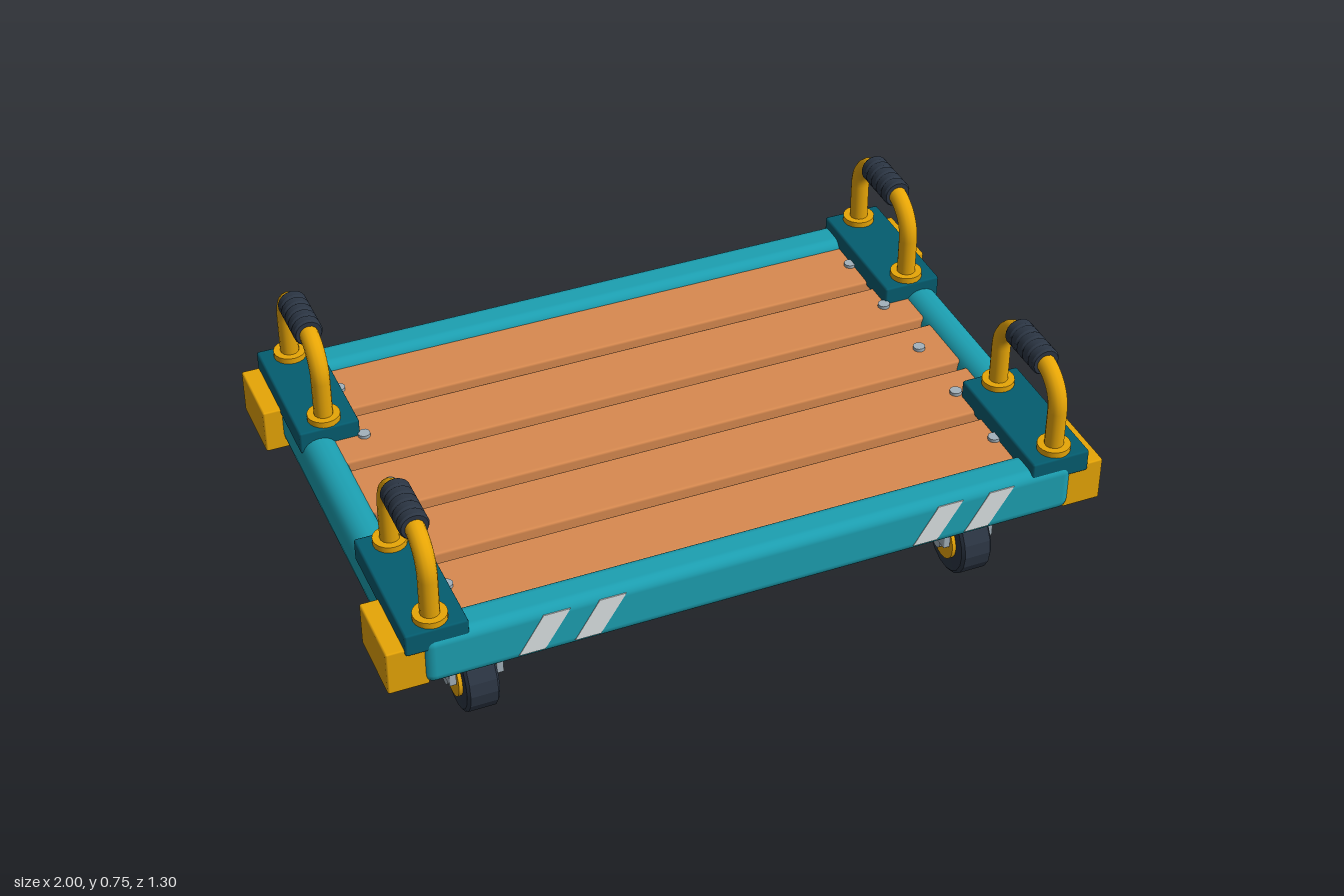
import * as THREE from 'three';
import { RoundedBoxGeometry } from 'three/addons/geometries/RoundedBoxGeometry.js';
import { toCreasedNormals } from 'three/addons/utils/BufferGeometryUtils.js';

const paint = (name, color) => {
  const m = new THREE.MeshStandardMaterial({ color });
  m.name = name;
  return m;
};

export function createModel() {
  const teal = paint('teal', 0x1ca0b2);
  const darkTeal = paint('dark teal', 0x045d70);
  const amber = paint('amber', 0xe8a606);
  const wood = paint('wood', 0xd88a50);
  const paleWood = paint('pale wood', 0xdba973);
  const rubber = paint('rubber', 0x2b3543);
  const steel = paint('steel', 0xa3b1bb);
  const silver = paint('silver', 0xdde3e4);

  const root = new THREE.Group();
  root.name = 'platformDolly';

  // The back plate sticks out behind, so the body sits slightly forward
  const body = new THREE.Group();
  body.name = 'body';
  body.position.z = 0.006;
  root.add(body);

  function add(parent, name, geometry, material, x = 0, y = 0, z = 0) {
    const mesh = new THREE.Mesh(geometry, material);
    mesh.name = name;
    mesh.position.set(x, y, z);
    parent.add(mesh);
    return mesh;
  }
  const box = (w, h, d, r = 0.006, seg = 1) => new RoundedBoxGeometry(w, h, d, seg, r);
  const cyl = (r, h, n = 20) => new THREE.CylinderGeometry(r, r, h, n);
  const lathe = (pts, n, crease) => toCreasedNormals(
    new THREE.LatheGeometry(pts.map(([r, y]) => new THREE.Vector2(r, y)), n), crease);

  // Outer frame
  for (const s of [-1, 1]) {
    add(body, 'longRail', box(1.81, 0.15, 0.104, 0.03, 3), teal, 0, 0.385, s * 0.59);
    add(body, 'sideRail', box(0.1, 0.15, 1.2, 0.048, 3), teal, s * 0.897, 0.385, 0);
  }

  // Deck planks with a screw at each end
  for (const z of [-0.449, -0.227, -0.005, 0.217, 0.439]) {
    add(body, 'plank', box(1.74, 0.055, 0.19, 0.008), wood, 0, 0.411, z);
    for (const s of [-1, 1])
      add(body, 'screw', cyl(0.017, 0.012, 12), steel, s * 0.775, 0.442, z);
  }

  // Supports under the deck
  for (const s of [-1, 1]) {
    add(body, 'crossBeam', box(0.077, 0.083, 1.1, 0.028, 3), paleWood, s * 0.565, 0.3435, 0);
    add(body, 'longBeam', box(1.6, 0.105, 0.125, 0.028, 3), darkTeal, 0, 0.3355, s * 0.38);
  }

  // Slanted reflective stripes, front and back
  const stripeShape = new THREE.Shape([
    new THREE.Vector2(0, 0), new THREE.Vector2(0.07, 0),
    new THREE.Vector2(0.14, 0.11), new THREE.Vector2(0.068, 0.11)]);
  const stripeGeometry = new THREE.ExtrudeGeometry(stripeShape, { depth: 0.003, bevelEnabled: false });
  for (const s of [-1, 1])
    for (const x of [-0.66, -0.51, 0.437, 0.587])
      add(body, 'stripe', stripeGeometry, silver, x, 0.332, s * 0.642 - 0.0015);
  add(body, 'backPlate', box(0.296, 0.054, 0.016, 0.003), amber, 0, 0.376, -0.646);

  // Handle: bent tube on two collars, with a ribbed grip
  const path = new THREE.CurvePath();
  const v = (y, z) => new THREE.Vector3(0, y, z);
  const half = 0.155, top = 0.226, bend = 0.1, k = 0.552 * bend;
  path.add(new THREE.LineCurve3(v(0, -half), v(top - bend, -half)));
  path.add(new THREE.CubicBezierCurve3(v(top - bend, -half), v(top - bend + k, -half),
    v(top, -half + bend - k), v(top, -half + bend)));
  path.add(new THREE.LineCurve3(v(top, -half + bend), v(top, half - bend)));
  path.add(new THREE.CubicBezierCurve3(v(top, half - bend), v(top, half - bend + k),
    v(top - bend + k, half), v(top - bend, half)));
  path.add(new THREE.LineCurve3(v(top - bend, half), v(0, half)));
  const tubeGeometry = new THREE.TubeGeometry(path, 60, 0.026, 14, false);

  const gripPoints = [[0, -0.078], [0.036, -0.078]];
  for (let i = 0; i < 5; i++) {
    const y = (i - 2) * 0.031;
    gripPoints.push([0.037, y - 0.0145], [0.04, y - 0.01], [0.04, y + 0.01], [0.037, y + 0.0145]);
  }
  gripPoints.push([0.036, 0.078], [0, 0.078]);
  const gripGeometry = lathe(gripPoints, 18, 0.5);

  function handle(x, y, z) {
    const g = new THREE.Group();
    g.name = 'handle';
    g.position.set(x, y, z);
    add(g, 'handleTube', tubeGeometry, amber);
    for (const s of [-1, 1]) add(g, 'handleCollar', cyl(0.045, 0.018), amber, 0, 0.008, s * half);
    add(g, 'handleGrip', gripGeometry, rubber, 0, top, 0).rotation.x = Math.PI / 2;
    body.add(g);
  }

  // Caster: mounting plate, swivel, fork and wheel
  const tyreGeometry = lathe([
    [0.05, -0.043], [0.098, -0.045], [0.107, -0.038],
    [0.107, 0.038], [0.098, 0.045], [0.05, 0.043]], 18, 0.25);

  function caster(x, z) {
    const g = new THREE.Group();
    g.name = 'caster';
    g.position.set(x, 0, z);
    add(g, 'mountPlate', box(0.19, 0.03, 0.208, 0.004), steel, 0, 0.293, 0);
    add(g, 'swivel', cyl(0.05, 0.05), steel, 0, 0.262, 0);
    add(g, 'forkCrown', box(0.15, 0.02, 0.097, 0.004), steel, 0, 0.25, 0);
    add(g, 'tyre', tyreGeometry, rubber, 0, 0.107, 0).rotation.z = Math.PI / 2;
    add(g, 'hub', cyl(0.061, 0.108), amber, 0, 0.107, 0).rotation.z = Math.PI / 2;
    add(g, 'axle', cyl(0.024, 0.146, 14), steel, 0, 0.107, 0).rotation.z = Math.PI / 2;
    for (const s of [-1, 1])
      add(g, 'forkArm', box(0.02, 0.15, 0.096, 0.003), steel, s * 0.065, 0.185, 0);
    body.add(g);
  }

  // Corner assemblies
  for (const sx of [-1, 1]) {
    for (const sz of [-1, 1]) {
      add(body, 'cornerBumper', box(0.11, 0.13, 0.209, 0.005), amber, sx * 0.945, 0.375, sz * 0.525);
      add(body, 'cornerPlate', box(0.167, 0.066, 0.404, 0.006), darkTeal, sx * 0.867, 0.456, sz * 0.435);
      handle(sx * 0.868, 0.489, sz * 0.434);
      caster(sx * 0.713, sz * 0.406);
    }
  }
  return root;
}
